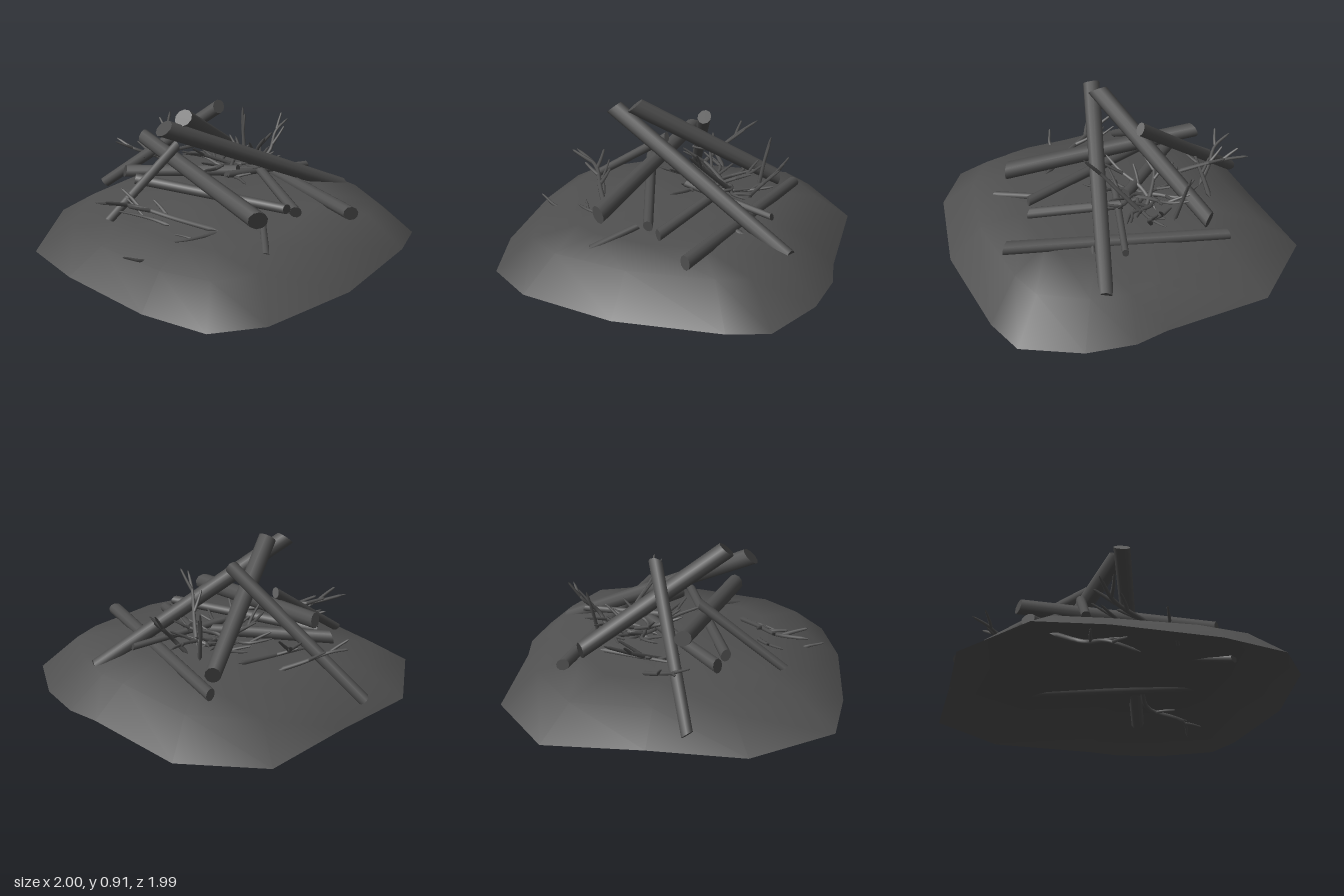
import * as THREE from 'three';

const charcoal = new THREE.MeshStandardMaterial({ color: 0x505050, side: THREE.DoubleSide });
charcoal.name = 'charcoal';
const V = (x, y, z) => new THREE.Vector3(x, y, z);

let seed = 7;
const rand = () => ((seed = (seed * 16807) % 2147483647) / 2147483647);

function named(geometry, name) {
  const mesh = new THREE.Mesh(geometry, charcoal);
  mesh.name = name;
  return mesh;
}

// Open earth mound: concentric rings following an uneven rim
function mound() {
  const rim = [[-0.54, -0.92], [0, -0.95], [0.56, -1], [0.91, -0.63], [0.96, 0], [1, 0.19], [0.97, 0.47],
    [0.82, 0.8], [0.6, 0.89], [0, 0.99], [-0.56, 0.92], [-0.83, 0.75], [-0.95, 0.38], [-1, -0.2], [-0.97, -0.58]];
  const rings = [
    [0.28, () => 0.325],
    [0.55, (x, z) => 0.29 + 0.03 * x + 0.02 * z],
    [0.8, (x, z) => 0.225 + 0.02 * x + 0.05 * Math.max(0, z)],
    [1, (x) => 0.08 - 0.01 * Math.max(0, -x)],
  ];
  const n = rim.length, pos = [0, 0.33, 0], idx = [];
  for (const [s, height] of rings) for (const [x, z] of rim) pos.push(x * s, height(x, z), z * s);
  for (let i = 0; i < n; i++) {
    const j = (i + 1) % n;
    idx.push(0, 1 + j, 1 + i);
    for (let r = 0; r < rings.length - 1; r++) {
      const a = 1 + r * n + i, b = 1 + r * n + j;
      idx.push(a, b, a + n, b, b + n, a + n);
    }
  }
  const g = new THREE.BufferGeometry();
  g.setAttribute('position', new THREE.Float32BufferAttribute(pos, 3));
  g.setIndex(idx);
  g.computeVertexNormals();
  return named(g, 'mound');
}

// Straight log between two points, slightly tapered, with slanted cut ends
function log(a, b, r) {
  const len = a.distanceTo(b);
  const g = new THREE.CylinderGeometry(r * 0.85, r, len, 10, 1);
  const p = g.attributes.position;
  for (let i = 0; i < p.count; i++) {
    const end = Math.sign(p.getY(i));
    p.setY(i, p.getY(i) - end * 0.02 + p.getX(i) * 0.45 * end);
  }
  const mesh = named(g, 'log');
  mesh.position.lerpVectors(a, b, 0.5);
  mesh.quaternion.setFromUnitVectors(V(0, 1, 0), b.clone().sub(a).normalize());
  return mesh;
}

// Tapered bent stem: a unit tube drawn in along its normals
function stem(curve, r0, r1, name) {
  const n = 14, sides = 6;
  const g = new THREE.TubeGeometry(curve, n, 1, sides);
  const p = g.attributes.position, m = g.attributes.normal;
  for (let i = 0; i < p.count; i++) {
    const ring = Math.floor(i / (sides + 1));
    const inset = 1 - (ring === 0 || ring === n ? 0.002 : r0 + (r1 - r0) * ring / n);
    p.setXYZ(i, p.getX(i) - m.getX(i) * inset, p.getY(i) - m.getY(i) * inset, p.getZ(i) - m.getZ(i) * inset);
  }
  return named(g, name);
}

// Crooked twig between two points; longer twigs fork more often
function twig(a, b) {
  const group = new THREE.Group();
  group.name = 'twig';
  const len = a.distanceTo(b), r = 0.009 + 0.014 * len;
  const across = V(a.z - b.z, 0, b.x - a.x);
  const bends = [0.35, 0.7].map((t) => a.clone().lerp(b, t).addScaledVector(across, (rand() - 0.5) * 0.3));
  const curve = new THREE.CatmullRomCurve3([a, ...bends, b]);
  group.add(stem(curve, r, r * 0.5, 'twigStem'));

  const shoots = Math.floor(len * 6);
  for (let i = 0; i < shoots; i++) {
    const t = 0.4 + 0.45 * (i + rand() * 0.5) / shoots;
    const base = curve.getPointAt(t), dir = curve.getTangentAt(t);
    const turn = i % 2 ? 1 : -1;
    const side = V(dir.z * turn, 0.25 + 0.4 * rand(), -dir.x * turn);
    const size = 0.09 + 0.05 * rand();
    const mid = base.clone().addScaledVector(dir, size * 0.4).addScaledVector(side, size * 0.3);
    const tip = base.clone().addScaledVector(dir, size * 0.9).addScaledVector(side, size * 0.6);
    group.add(stem(new THREE.CatmullRomCurve3([base, mid, tip]), r * 0.7, r * 0.4, 'twigShoot'));
  }
  return group;
}

export function createModel() {
  const model = new THREE.Group();
  model.name = 'brushPile';
  model.add(mound());

  // Logs: start, end, radius
  const logs = [
    [-0.44, 0.86, -0.04, 0.79, 0.23, 0.29, 0.05],
    [-0.3, 0.89, -0.02, 0.5, 0.36, -0.45, 0.053],
    [0.11, 0.83, -0.14, -0.22, 0.16, -0.92, 0.04],
    [0.31, 0.35, 0.74, 0.57, 0.31, -0.54, 0.04],
    [-0.27, 0.44, 0.57, -0.13, 0.57, -0.61, 0.052],
    [-0.15, 0.63, -0.23, -0.67, 0.27, -0.27, 0.03],
    [-0.33, 0.4, -0.56, 0.18, 0.42, -0.03, 0.038],
    [-0.35, 0.4, -0.43, 0.02, 0.4, 0.52, 0.033],
    [0.07, 0.36, 0.53, 0.27, 0.44, 0, 0.032],
    [0.02, 0.44, -0.02, 0.63, 0.38, 0.12, 0.022],
    [-0.3, 0.26, 0.65, -0.08, 0.34, 0.4, 0.022],
  ];
  for (const [x0, y0, z0, x1, y1, z1, r] of logs) model.add(log(V(x0, y0, z0), V(x1, y1, z1), r));

  // Loose twigs: start, end
  const twigs = [
    [0.42, 0.34, 0.24, 0.76, 0.15, 0.62],
    [-0.33, 0.31, 0.3, -0.78, 0.45, -0.22],
    [-0.47, 0.3, 0.05, -0.64, 0.36, -0.19],
    [-0.33, 0.3, 0.3, -0.57, 0.29, 0.2],
    [-0.73, 0.21, 0.15, -0.86, 0.27, 0.12],
    [-0.6, 0.19, -0.45, -0.85, 0.005, -0.02],
    [0.4, 0.36, -0.12, 0.62, 0.63, -0.07],
    [0.42, 0.37, -0.25, 0.47, 0.68, -0.32],
    [0.32, 0.38, -0.1, 0.14, 0.71, 0.2],
    [0.35, 0.42, -0.5, -0.13, 0.42, -0.6],
    [-0.02, 0.36, -0.45, 0.25, 0.58, -0.78],
    [0.1, 0.32, -0.55, -0.14, 0.48, -0.85],
  ];
  for (const [x0, y0, z0, x1, y1, z1] of twigs) model.add(twig(V(x0, y0, z0), V(x1, y1, z1)));

  // Thicket of twigs fanning out through the middle of the pile
  const fan = 9;
  for (let i = 0; i < fan; i++) {
    const angle = (i / fan) * Math.PI * 2, reach = 0.28 + 0.1 * rand();
    const c = Math.cos(angle), s = Math.sin(angle);
    model.add(twig(V(0.2 - 0.1 * c, 0.37, -0.15 - 0.1 * s), V(0.2 + reach * c, 0.42 + 0.13 * rand(), -0.15 + reach * s)));
  }
  return model;
}
